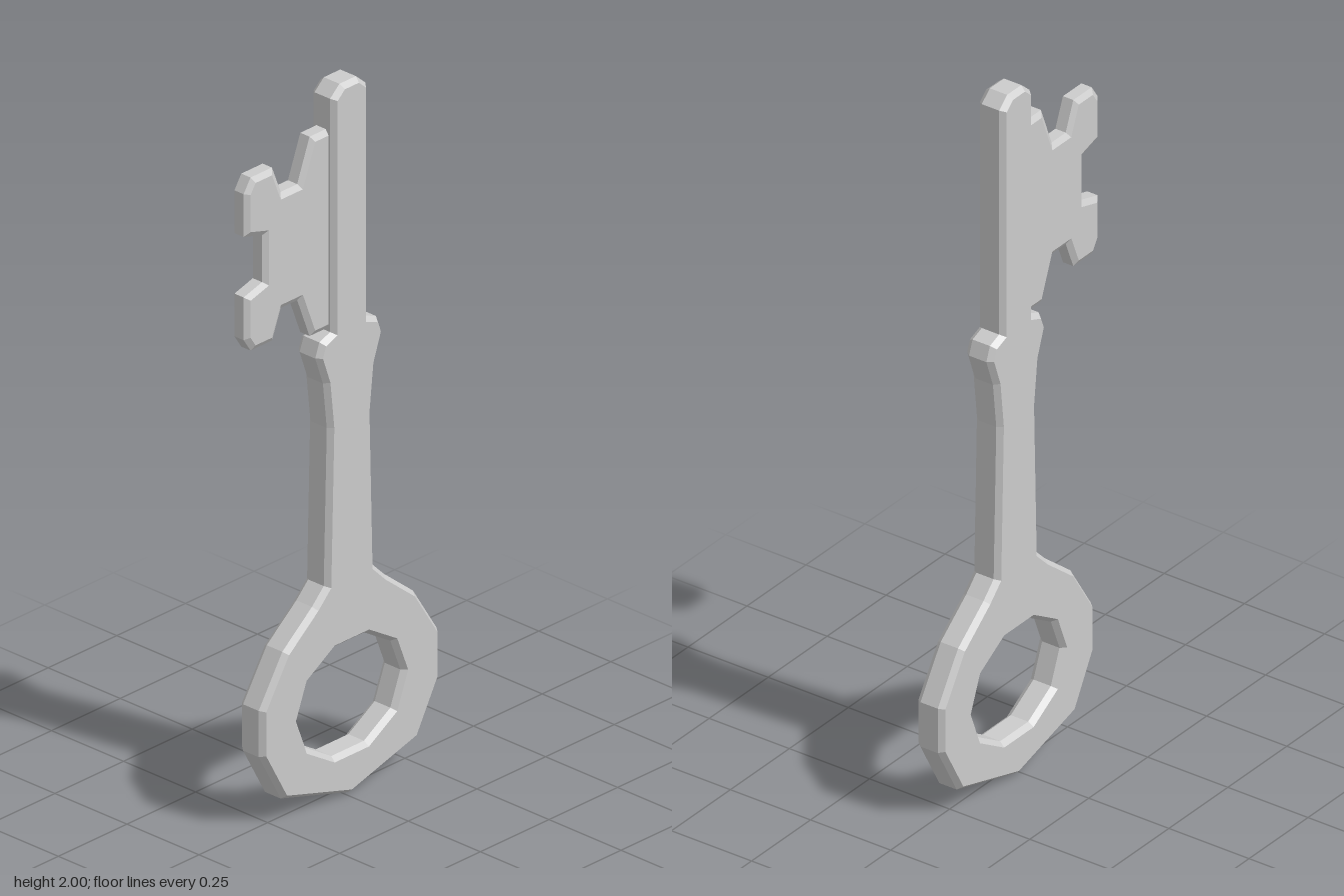
import * as THREE from 'three';

const material = new THREE.MeshStandardMaterial({ color: 0xcccccc, flatShading: true });
const AXIS = -0.013; // z of the key's own symmetry line

const toPoints = (list) => list.map(([z, y]) => new THREE.Vector2(z, y));

// Extrudes a (z, y) profile across x, with chamfered edges kept inside the profile
function plate(name, shape, halfWidth, halfEdge, inset) {
  const geometry = new THREE.ExtrudeGeometry(shape, {
    depth: halfEdge * 2,
    bevelEnabled: true,
    bevelSegments: 1,
    bevelThickness: halfWidth - halfEdge,
    bevelSize: inset,
    bevelOffset: -inset,
  });
  geometry.translate(0, 0, -halfEdge);
  geometry.rotateY(-Math.PI / 2);
  const mesh = new THREE.Mesh(geometry, material);
  mesh.name = name;
  return mesh;
}

export function createModel() {
  const key = new THREE.Group();
  key.name = 'key';

  // Bow, collar and shaft: half outline from the bottom up, mirrored about the axis
  const half = [
    [0.244, 0.07], [0.324, 0.215], [0.324, 0.345], [0.238, 0.48],
    [0.13, 0.567], [0.087, 0.61], [0.076, 1.05], [0.09, 1.18],
    [0.118, 1.26], [0.103, 1.3], [0.064, 1.315], [0.064, 1.97], [0.03, 2],
  ];
  const outline = [
    [AXIS, 0],
    ...half.map(([d, y]) => [AXIS + d, y]),
    ...half.slice().reverse().map(([d, y]) => [AXIS - d, y]),
  ];
  const body = new THREE.Shape(toPoints(outline));

  // Ten-sided oval hole in the bow
  const hole = [];
  for (let i = 0; i < 10; i++) {
    const a = (i / 10) * Math.PI * 2;
    hole.push([AXIS + 0.192 * Math.cos(a), 0.275 + 0.16 * Math.sin(a)]);
  }
  body.holes.push(new THREE.Path(toPoints(hole)));
  key.add(plate('bowAndShaft', body, 0.042, 0.027, 0.012));

  // Bit: upper half outline, mirrored about its middle height
  const middle = 1.6;
  const upper = [
    [0, 0.28], [0.11, 0.28], [0.155, 0.163], [0.215, 0.163], [0.247, 0.243],
    [0.325, 0.243], [0.35, 0.205], [0.35, 0.085], [0.283, 0.066],
  ];
  const bitOutline = [
    ...upper.map(([z, h]) => [z, middle + h]),
    ...upper.slice().reverse().map(([z, h]) => [z, middle - h]),
  ];
  const bit = plate('bit', new THREE.Shape(toPoints(bitOutline)), 0.026, 0.016, 0.015);
  bit.position.x = -0.004;
  key.add(bit);

  return key;
}
